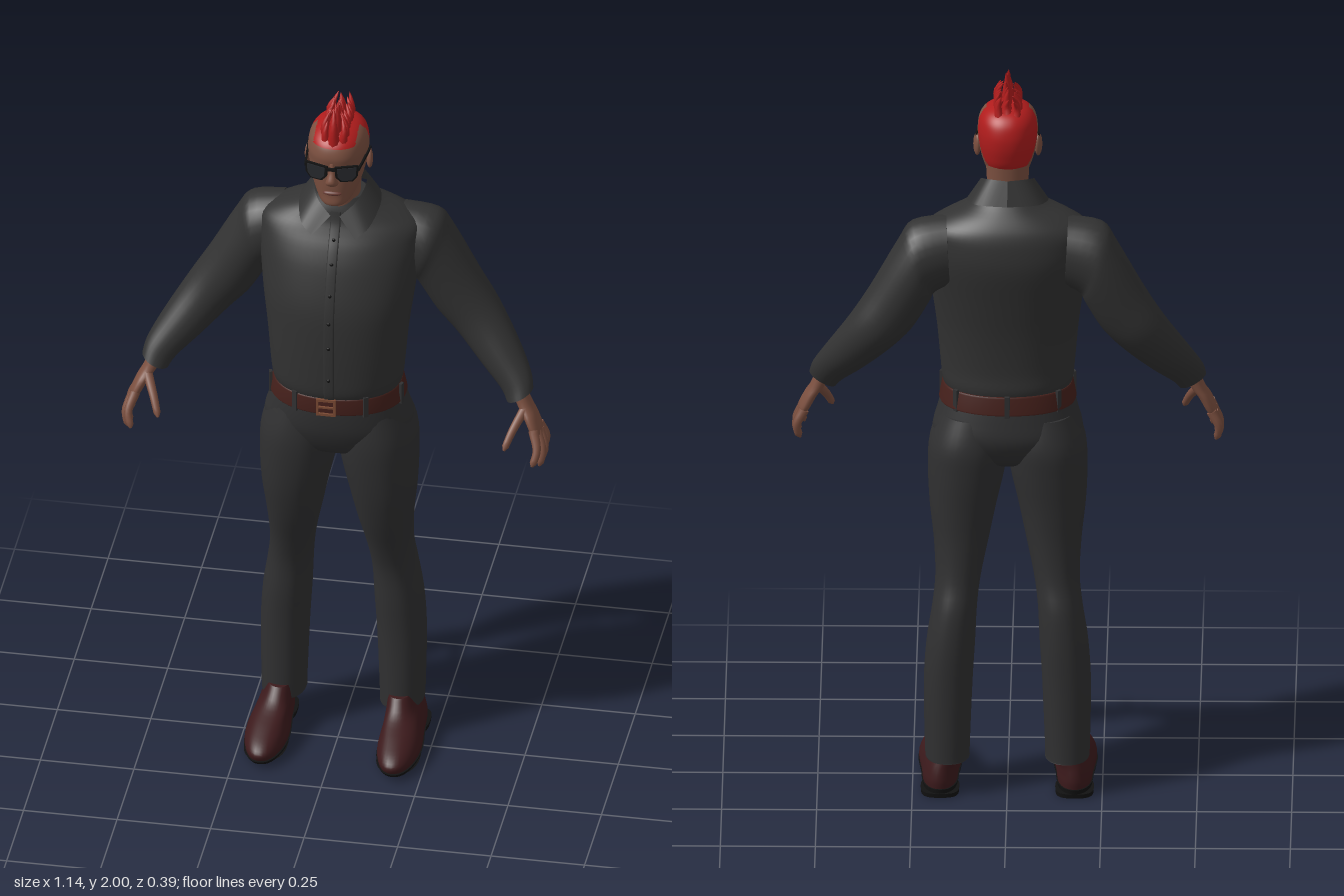
import * as THREE from 'three';
import { mergeVertices } from 'three/addons/utils/BufferGeometryUtils.js';

const V = (x, y, z) => new THREE.Vector3(x, y, z);
const mat = (name, color, side = THREE.FrontSide) => {
  const m = new THREE.MeshStandardMaterial({ color, side });
  m.name = name;
  return m;
};

// Smooth in-between rows for a list of number rows
function refine(rows, k) {
  const out = [], at = i => rows[Math.max(0, Math.min(rows.length - 1, i))];
  for (let i = 0; i < rows.length - 1; i++)
    for (let s = 0; s < k; s++) {
      const t = s / k;
      out.push(rows[i].map((b, c) => {
        const a = at(i - 1)[c], d = at(i + 1)[c], e = at(i + 2)[c];
        return 0.5 * (2 * b + (d - a) * t + (2 * a - 5 * b + 4 * d - e) * t * t + (3 * b - a - 3 * d + e) * t * t * t);
      }));
    }
  out.push(rows[rows.length - 1]);
  return out;
}

// Skin over closed rings, with flat end caps
function loft(rings) {
  const n = rings[0].length, pos = [], idx = [];
  rings.forEach(r => r.forEach(p => pos.push(p.x, p.y, p.z)));
  for (let i = 0; i < rings.length - 1; i++)
    for (let j = 0; j < n; j++) {
      const a = i * n + j, b = i * n + (j + 1) % n;
      idx.push(a, b, b + n, a, b + n, a + n);
    }
  for (const [ring, flip] of [[rings[0], true], [rings[rings.length - 1], false]]) {
    const base = pos.length / 3, c = V(0, 0, 0);
    ring.forEach(p => { c.addScaledVector(p, 1 / n); pos.push(p.x, p.y, p.z); });
    pos.push(c.x, c.y, c.z);
    for (let j = 0; j < n; j++) {
      const a = base + j, b = base + (j + 1) % n;
      idx.push(...(flip ? [b, a, base + n] : [a, b, base + n]));
    }
  }
  const g = new THREE.BufferGeometry();
  g.setAttribute('position', new THREE.Float32BufferAttribute(pos, 3));
  g.setIndex(idx);
  g.computeVertexNormals();
  return g;
}

// Upright body from rows [y, centre x, half width, front z, back z]
function body(rows, { n = 40, k = 4, e = 2.2, bend = null } = {}) {
  const pw = v => Math.sign(v) * Math.abs(v) ** (2 / e);
  return loft(refine(rows, k).map(([y, xc, xh, zf, zb]) => Array.from({ length: n }, (_, j) => {
    const a = j / n * Math.PI * 2, z = (zf + zb) / 2 + (zf - zb) / 2 * pw(Math.cos(a));
    return V(xc + xh * pw(Math.sin(a)) * (bend ? bend(z) : 1), y, z);
  })));
}

// Tapered round limb along a curve, radius r0 to r1, rounded tip
function limb(points, r0, r1, steps = 10, n = 10) {
  const c = new THREE.CatmullRomCurve3(points.map(p => V(...p)));
  const { normals, binormals } = c.computeFrenetFrames(steps);
  return loft(Array.from({ length: steps + 1 }, (_, i) => {
    const t = i / steps, r = (r0 + (r1 - r0) * t) * (i === steps ? 0.35 : 1), o = c.getPointAt(t);
    return Array.from({ length: n }, (_, j) => {
      const a = j / n * Math.PI * 2;
      return o.clone().addScaledVector(normals[i], r * Math.cos(a)).addScaledVector(binormals[i], r * Math.sin(a));
    });
  }));
}

function mirrored(geo) {
  const g = geo.index ? geo.clone() : mergeVertices(geo);
  g.scale(-1, 1, 1);
  const ix = g.index.array;
  for (let i = 0; i < ix.length; i += 3) [ix[i], ix[i + 1]] = [ix[i + 1], ix[i]];
  return g;
}

export function createModel() {
  const model = new THREE.Group();
  model.name = 'man';
  const skin = mat('skin', 0x7c5040), lip = mat('lips', 0x6a3c34), hair = mat('red hair', 0xb01c1c);
  const shirt = mat('shirt cloth', 0x323232, THREE.DoubleSide), pants = mat('trouser cloth', 0x303031);
  const leather = mat('shoe leather', 0x3c1a1c), belt = mat('belt leather', 0x45201b);
  const black = mat('black', 0x121212), lens = mat('dark lens', 0x26282c), brass = mat('buckle metal', 0x7a4a34);
  const add = (name, geo, m) => {
    const mesh = new THREE.Mesh(geo, m);
    mesh.name = name;
    model.add(mesh);
    return mesh;
  };
  const pair = (name, geo, m) => {
    add(name + 'Left', geo, m);
    add(name + 'Right', mirrored(geo), m);
  };

  // Shirt body and button placket
  const torso = [[1.125, 0, .166, .122, -.142], [1.15, 0, .173, .132, -.148], [1.2, 0, .178, .135, -.146],
    [1.3, 0, .187, .136, -.155], [1.4, 0, .2, .13, -.172], [1.5, 0, .212, .102, -.19], [1.56, 0, .216, .076, -.188],
    [1.6, 0, .21, .052, -.178], [1.63, 0, .165, .036, -.16], [1.66, 0, .1, .028, -.132], [1.69, 0, .068, .015, -.1]];
  add('shirtBody', body(torso, { n: 56 }), shirt);
  add('placket', body(torso.slice(0, 10).map(([y, , , zf]) => [y, 0, .014, zf + .004, zf - .02]), { n: 16, e: 6 }), shirt);
  refine(torso, 4).filter((r, i) => [8, 12, 15, 18, 22, 27].includes(i)).forEach(([y, , , zf]) =>
    add('button', new THREE.SphereGeometry(.005, 10, 8).scale(1, 1, .6).translate(0, y, zf + .005), black));

  // Collar: folded strip from the nape to the front points
  const strip = refine([[0, 1.735, -.105, 0, 1.672, -.132], [.05, 1.734, -.088, .08, 1.67, -.112],
    [.07, 1.718, -.04, .108, 1.66, -.045], [.052, 1.688, .015, .092, 1.63, .042], [.012, 1.655, .044, .058, 1.604, .07]], 5);
  const cg = new THREE.BufferGeometry(), ci = [];
  cg.setAttribute('position', new THREE.Float32BufferAttribute(strip.flat(), 3));
  for (let i = 0; i < strip.length - 1; i++) ci.push(2 * i, 2 * i + 1, 2 * i + 3, 2 * i, 2 * i + 3, 2 * i + 2);
  cg.setIndex(ci);
  cg.computeVertexNormals();
  pair('collar', cg, shirt);

  // Sleeves: rows [outer x, outer y, inner x, inner y, centre z, half depth]
  const sleeve = refine([[.16, 1.63, .15, 1.44, -.09, .08], [.25, 1.614, .19, 1.42, -.092, .092],
    [.29, 1.56, .205, 1.395, -.1, .088], [.36, 1.435, .25, 1.32, -.1, .078], [.415, 1.345, .305, 1.26, -.092, .072],
    [.475, 1.25, .375, 1.19, -.055, .06], [.512, 1.185, .432, 1.138, -.02, .046], [.522, 1.148, .452, 1.11, 0, .041]], 4);
  pair('sleeve', loft(sleeve.map(([ox, oy, ix, iy, z, d]) => Array.from({ length: 28 }, (_, j) => {
    const a = j / 28 * Math.PI * 2, c = Math.cos(a) / 2;
    return V((ox + ix) / 2 + (ox - ix) * c, (oy + iy) / 2 + (oy - iy) * c, z + d * Math.sin(a));
  }))), shirt);

  // Hands
  pair('palm', body([[1.025, .541, .01, .05, -.01], [1.045, .534, .016, .064, -.02], [1.08, .518, .018, .055, -.024],
    [1.11, .5, .02, .036, -.024], [1.16, .478, .022, .024, -.026]], { n: 20 }), skin);
  [['indexFinger', [.532, 1.05, .052], [.546, 1.005, .08], [.536, .965, .097]],
    ['middleFinger', [.538, 1.04, .034], [.557, .992, .056], [.55, .95, .064]],
    ['ringFinger', [.54, 1.035, .012], [.558, .988, .028], [.547, .945, .032]],
    ['littleFinger', [.536, 1.04, -.008], [.555, 1.0, -.012], [.55, .962, -.004]],
    ['thumb', [.505, 1.1, .025], [.478, 1.052, .075], [.462, 1.012, .105]]]
    .forEach(([name, ...p]) => pair(name, limb(p, .0135, .009), skin));

  // Trousers
  add('trouserSeat', body([[.915, 0, .08, .03, -.09], [.94, 0, .16, .08, -.13], [1.0, 0, .197, .11, -.16],
    [1.06, 0, .185, .12, -.156], [1.13, 0, .165, .12, -.143]], { n: 48 }), pants);
  pair('trouserLeg', body([[.095, .157, .058, -.01, -.167], [.12, .158, .059, -.008, -.167], [.3, .156, .064, -.008, -.171],
    [.42, .149, .064, -.002, -.173], [.52, .139, .059, .002, -.166], [.6, .13, .06, .022, -.147], [.7, .122, .073, .058, -.141],
    [.8, .117, .089, .085, -.146], [.9, .108, .102, .1, -.156], [.98, .102, .103, .104, -.16], [1.06, .092, .085, .095, -.14]]), pants);

  // Belt, loops and buckle
  add('belt', body([[1.086, 0, .179, .127, -.157], [1.09, 0, .181, .13, -.158], [1.132, 0, .173, .13, -.152],
    [1.136, 0, .17, .126, -.15]], { n: 48, k: 1 }), belt);
  [.55, 1.3, 2.3, Math.PI, -2.3, -1.3, -.55].forEach(a => {
    const loop = add('beltLoop', new THREE.BoxGeometry(.014, .06, .008), pants);
    loop.position.set(.181 * Math.sin(a), 1.112, -.013 + .146 * Math.cos(a));
    loop.rotation.y = a;
  });
  const rect = (S, w, h) => new S([[-w, -h], [w, -h], [w, h], [-w, h]].map(p => new THREE.Vector2(...p)));
  const frame = rect(THREE.Shape, .026, .025);
  frame.holes.push(rect(THREE.Path, .02, .018));
  add('buckle', new THREE.ExtrudeGeometry(frame, { depth: .007, bevelEnabled: false }).translate(-.008, 1.111, .128), brass);
  add('bucklePin', new THREE.BoxGeometry(.04, .005, .006).translate(-.008, 1.111, .132), brass);

  // Shoes with soles and heels
  const waist = z => 1 - .16 * Math.exp(-(((z + .04) / .07) ** 2));
  pair('shoe', body([[.02, .177, .058, .188, -.163], [.04, .177, .06, .194, -.166], [.06, .176, .056, .172, -.165],
    [.08, .173, .051, .12, -.162], [.105, .165, .046, .045, -.158], [.14, .16, .042, .005, -.15]], { bend: waist }), leather);
  pair('sole', body([[.008, .177, .058, .18, -.165], [.024, .177, .062, .197, -.168]], { k: 1, bend: waist }), black);
  pair('heel', body([[0, .177, .05, -.05, -.165], [.012, .177, .051, -.05, -.167]], { k: 1, e: 3 }), black);
  pair('treadFront', body([[0, .177, .052, .15, .0], [.01, .177, .057, .17, -.01]], { k: 1 }), black);

  // Neck and head, with the shaved red scalp as a second face group
  add('neck', body([[1.62, 0, .055, .02, -.1], [1.69, 0, .054, .024, -.094], [1.77, 0, .058, .03, -.098]]), skin);
  const head = body([[1.703, 0, .022, .066, .02], [1.713, 0, .04, .083, -.03], [1.74, 0, .057, .083, -.075],
    [1.77, 0, .067, .085, -.1], [1.8, 0, .074, .086, -.111], [1.83, 0, .078, .086, -.117], [1.86, 0, .079, .089, -.117],
    [1.89, 0, .073, .078, -.108], [1.911, 0, .056, .053, -.088], [1.922, 0, .03, .022, -.055], [1.925, 0, .004, -.01, -.02]],
  { n: 80, k: 6 });
  const faces = [[], []], p = head.attributes.position, ix = head.index.array;
  for (let i = 0; i < ix.length; i += 3) {
    const t = [ix[i], ix[i + 1], ix[i + 2]], mid = f => (f(t[0]) + f(t[1]) + f(t[2])) / 3;
    const x = mid(j => p.getX(j)), y = mid(j => p.getY(j)), z = mid(j => p.getZ(j));
    const red = y > 1.765 && ((Math.abs(x) < .056 && y > 1.885) || z < -.02 - (1.9 - y) * .35);
    faces[red ? 1 : 0].push(...t);
  }
  head.setIndex(faces.flat());
  head.addGroup(0, faces[0].length, 0);
  head.addGroup(faces[0].length, faces[1].length, 1);
  add('head', head, [skin, hair]);
  add('nose', body([[1.776, 0, .009, .092, .07], [1.784, 0, .017, .102, .07], [1.797, 0, .014, .107, .07],
    [1.82, 0, .009, .096, .07], [1.845, 0, .008, .09, .07]], { n: 20 }), skin);
  add('lips', new THREE.SphereGeometry(1, 20, 12).scale(.025, .007, .009).translate(0, 1.75, .08), lip);
  pair('ear', new THREE.SphereGeometry(1, 16, 12).scale(.009, .031, .018).rotateY(.3).translate(.081, 1.807, -.022), skin);

  // Sunglasses
  const lensShape = s => new THREE.Shape([[-.028, .019], [.028, .021], [.027, -.006], [.015, -.021], [-.014, -.021], [-.026, -.008]]
    .map(([x, y]) => new THREE.Vector2(x * s, y * s)));
  const plate = (s, z) => new THREE.ExtrudeGeometry(lensShape(s), { depth: .006, bevelEnabled: false })
    .translate(0, 0, z).rotateY(.28).translate(.039, 1.823, .09);
  pair('glassesRim', plate(1.13, 0), black);
  pair('lens', plate(.92, .002), lens);
  add('glassesBridge', new THREE.BoxGeometry(.022, .007, .008).translate(0, 1.835, .1), black);
  pair('glassesArm', new THREE.BoxGeometry(.005, .008, .115).rotateY(-.1).translate(.077, 1.836, .03), black);

  // Mohawk: a tall middle row of curved spikes with shorter ones beside it
  let seed = 7;
  const rnd = () => (seed = (seed * 16807) % 2147483647) / 2147483647;
  for (let i = 0; i < 10; i++)
    for (const side of [-1, 0, 1]) {
      const t = (i + (side ? .5 : 0)) / 10, z = .06 - .145 * t, x = side * .021;
      const base = 1.912 - 8 * Math.max(0, Math.abs(z + .015) - .035) ** 2 - (side ? .006 : 0);
      const tip = side ? 1.95 + .018 * rnd() : (i === 3 ? 2 : 1.975 + .022 * rnd()) - .03 * t * t;
      add('mohawkSpike', limb([[x, base - .012, z], [x * 1.3 + .008 * (rnd() - .5), (base + tip) / 2, z + .004],
        [x * .8 + .012 * (rnd() - .5), tip, z - .004 - .014 * rnd()]], side ? .015 : .018, .002, 7, 8), hair);
    }
  return model;
}
